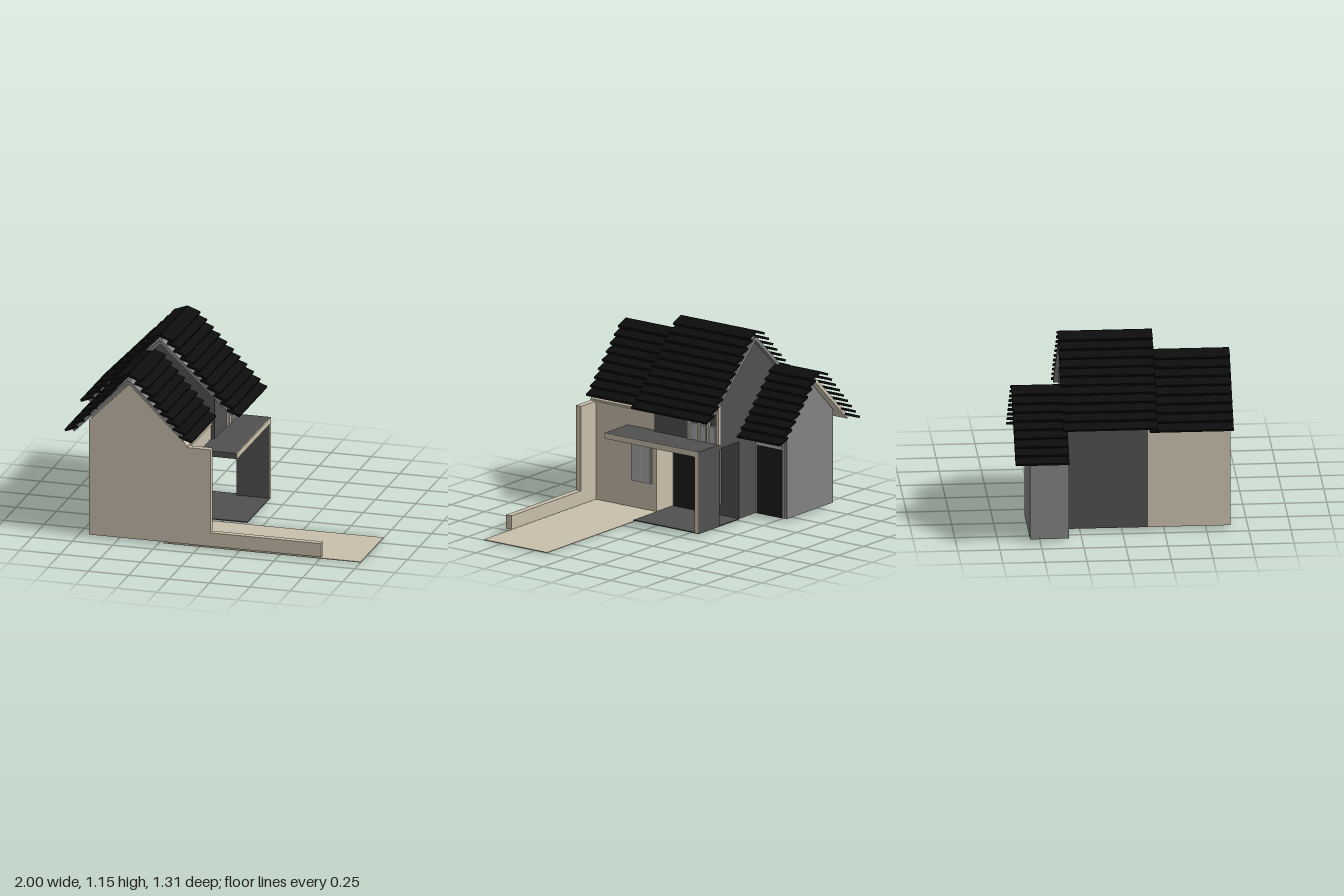
import * as THREE from 'three';

const material = (color) => new THREE.MeshStandardMaterial({ color, flatShading: true, side: THREE.DoubleSide });
const BEIGE = material(0xc9bfab);
const DARK = material(0x505050);
const GREY = material(0x828282);
const LIGHT = material(0xb2b2b2);
const PANE = material(0xa9a9a9);
const BLACK = material(0x0d0d0d);
const DOOR = material(0x1a1a1a);

export function createModel() {
  const model = new THREE.Group();
  model.name = 'house';

  const add = (name, geometry, mat, parent = model) => {
    const mesh = new THREE.Mesh(geometry, mat);
    mesh.name = name;
    parent.add(mesh);
    return mesh;
  };
  // Box given by its limits on each axis
  const box = (name, mat, [x0, x1], [y0, y1], [z0, z1], parent) => {
    const mesh = add(name, new THREE.BoxGeometry(x1 - x0, y1 - y0, z1 - z0), mat, parent);
    mesh.position.set((x0 + x1) / 2, (y0 + y1) / 2, (z0 + z1) / 2);
    return mesh;
  };
  // Outline in x and y, extruded from z0 to z1
  const prism = (name, mat, points, z0, z1) => {
    const shape = new THREE.Shape(points.map(([x, y]) => new THREE.Vector2(x, y)));
    const geometry = new THREE.ExtrudeGeometry(shape, { depth: z1 - z0, bevelEnabled: false });
    geometry.translate(0, 0, z0);
    return add(name, geometry, mat);
  };

  // Gabled bodies
  prism('frontBlock', BEIGE,
    [[-0.68, 0.015], [-0.07, 0.015], [-0.07, 0.63], [-0.425, 0.985], [-0.68, 0.73]], 0.155, 0.645);
  prism('middleBlock', DARK,
    [[-0.68, 0.015], [-0.24, 0.015], [-0.24, 0.49], [-0.05, 0.49], [-0.05, 0.8], [-0.37, 1.1], [-0.68, 0.81]],
    -0.33, 0.155);
  prism('backWing', GREY,
    [[-0.86, 0.015], [-0.41, 0.015], [-0.41, 0.65], [-0.605, 0.84], [-0.86, 0.59]], -0.56, -0.33);

  // Roof: two sloping sheets covered by overlapping rows of slats
  const roof = (name, { x, top, half, drop, z0, z1, rows, sheet, sheetMat }) => {
    const group = new THREE.Group();
    group.name = name;
    model.add(group);
    const slope = drop / half;
    const angle = Math.atan(slope);
    const tilt = 0.36, length = 0.085, thick = 0.014;
    const first = (length / 2) * Math.cos(tilt);
    const last = half - first;
    for (const side of [-1, 1]) {
      const run = half - 0.05;
      const under = add('roofSheet', new THREE.BoxGeometry(run / Math.cos(angle), 0.02, sheet[1] - sheet[0]), sheetMat, group);
      under.position.set(x + side * run / 2, top - 0.048 - slope * run / 2, (sheet[0] + sheet[1]) / 2);
      under.rotation.z = -side * angle;
      for (let i = 0; i < rows; i++) {
        const t = i / (rows - 1);
        const slat = add('roofSlat', new THREE.BoxGeometry(length, thick, z1 - z0), BLACK, group);
        slat.position.set(
          x + side * (first + (last - first) * t),
          top - 0.022 - (drop - 0.034) * t,
          (z0 + z1) / 2);
        slat.rotation.z = -side * tilt;
      }
    }
  };
  roof('frontRoof', { x: -0.432, top: 1.045, half: 0.393, drop: 0.385, z0: 0.155, z1: 0.655, rows: 9,
    sheet: [0.155, 0.65], sheetMat: GREY });
  roof('middleRoof', { x: -0.372, top: 1.152, half: 0.493, drop: 0.46, z0: -0.362, z1: 0.2, rows: 11,
    sheet: [-0.355, 0.19], sheetMat: GREY });
  roof('backRoof', { x: -0.607, top: 0.897, half: 0.393, drop: 0.367, z0: -0.655, z1: -0.335, rows: 9,
    sheet: [-0.605, -0.335], sheetMat: BEIGE });

  // Front fin wall, low garden wall and driveway
  box('finWall', BEIGE, [-0.07, 0.075], [0.015, 0.62], [0.605, 0.645]);
  box('gardenWall', BEIGE, [0.075, 0.76], [0.015, 0.1], [0.605, 0.645]);
  box('wallCap', BEIGE, [-0.07, -0.064], [0.605, 0.62], [0.155, 0.605]);
  box('driveway', BEIGE, [-0.22, 1], [0, 0.004], [0.16, 0.63]);

  // Porch: floor, canopy and free-standing side panel with pale edges
  box('porchFloor', DARK, [-0.24, 0.155], [0.01, 0.016], [-0.33, 0.155]);
  box('canopy', DARK, [-0.07, 0.152], [0.48, 0.515], [-0.33, 0.37]);
  box('canopyEdge', BEIGE, [0.152, 0.156], [0.48, 0.515], [-0.33, 0.37]);
  box('porchPanel', DARK, [-0.05, 0.152], [0.015, 0.48], [-0.33, -0.297]);
  box('porchPanelEdge', BEIGE, [0.152, 0.156], [0.015, 0.48], [-0.33, -0.297]);

  // Framed window on a wall facing +x; bands are the vertical limits of its panes
  const windowUnit = (name, x, [y0, y1], [z0, z1], columns, bands) => {
    const group = new THREE.Group();
    group.name = name;
    model.add(group);
    box('windowFrame', LIGHT, [x - 0.005, x + 0.008], [y0, y1], [z0, z1], group);
    const width = (z1 - z0) / columns;
    for (let c = 0; c < columns; c++) {
      for (const band of bands) {
        box('windowPane', PANE, [x, x + 0.011], band,
          [z0 + c * width + 0.008, z0 + (c + 1) * width - 0.008], group);
      }
    }
  };
  windowUnit('frontBlockWindow', -0.07, [0.18, 0.48], [0.185, 0.34], 2, [[0.19, 0.445], [0.452, 0.474]]);
  windowUnit('porchWindow', -0.24, [0.085, 0.475], [-0.195, -0.012], 2,
    [[0.093, 0.125], [0.148, 0.42], [0.435, 0.465]]);

  // Doors with a pale frame and fanlight
  const door = (name, x, [z0, z1], top) => {
    const group = new THREE.Group();
    group.name = name;
    model.add(group);
    box('doorFrame', LIGHT, [x - 0.005, x + 0.008], [0.015, top], [z0, z1], group);
    box('doorLeaf', DOOR, [x, x + 0.012], [0.017, 0.436], [z0 + 0.008, z1 - 0.008], group);
    box('fanlight', PANE, [x, x + 0.011], [0.446, top - 0.008], [z0 + 0.008, z1 - 0.008], group);
  };
  door('porchDoor', -0.24, [-0.012, 0.155], 0.476);
  door('backWingDoor', -0.41, [-0.535, -0.335], 0.492);

  // Upper windows between pale posts
  for (let i = 0; i < 4; i++) {
    const z = -0.107 - i * 0.072;
    box('upperPost', BEIGE, [-0.055, -0.035], [0.515, 0.79], [z - 0.008, z + 0.008]);
    if (i < 3) windowUnit('upperWindow', -0.05, [0.515, 0.62], [z - 0.062, z - 0.01], 1, [[0.518, 0.612]]);
  }

  return model;
}
